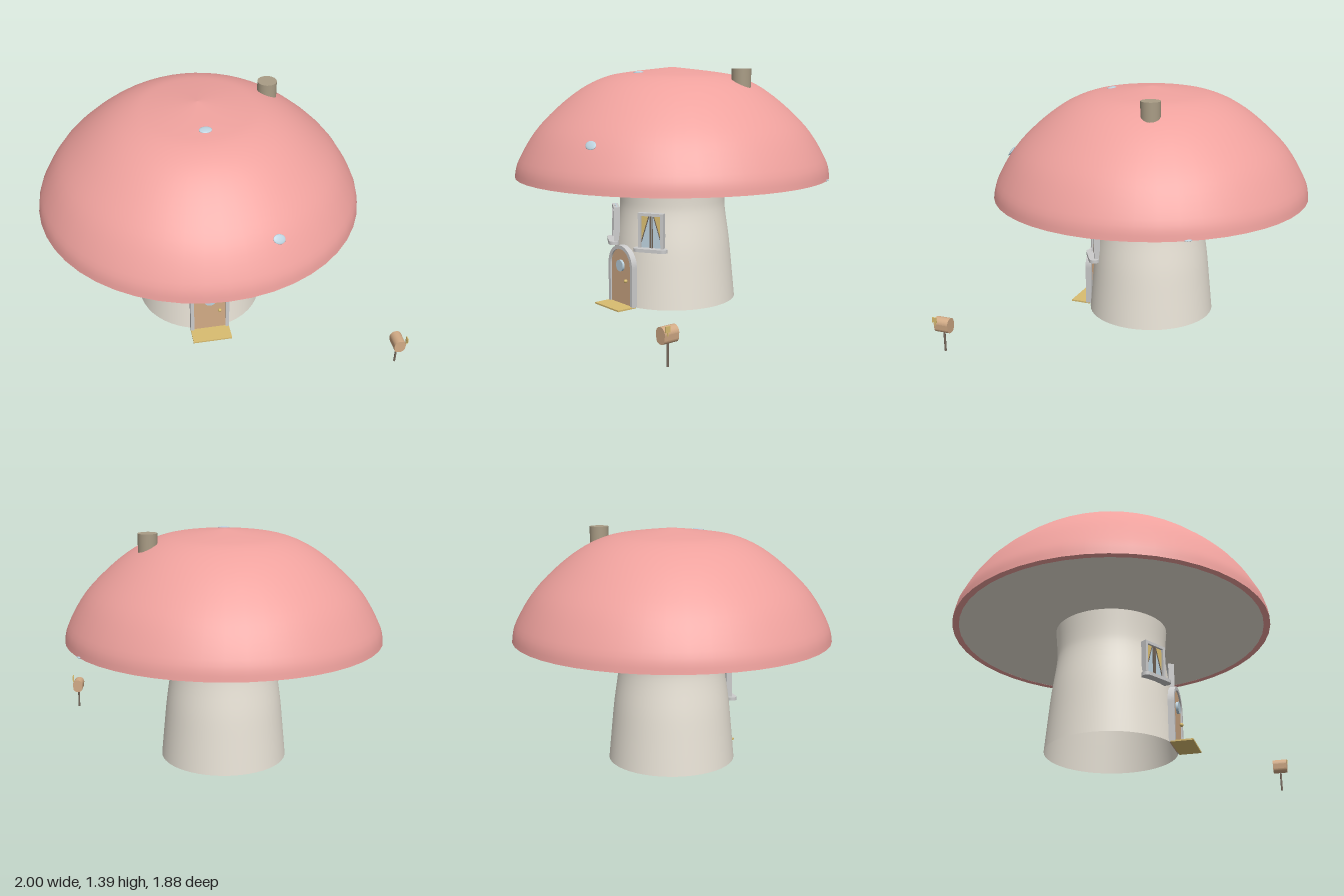
import * as THREE from 'three';

const mat = (color, side = THREE.FrontSide) =>
  new THREE.MeshStandardMaterial({ color, side });
const cream = mat(0xe8e2d6, THREE.DoubleSide);
const pink = mat(0xeea19d, THREE.DoubleSide);
const grey = mat(0xc4c4c8);
const wood = mat(0xd2ab86);
const glass = mat(0xbcd2de);
const gold = mat(0xd8bc70, THREE.DoubleSide);
const stone = mat(0xa99c85);
const dark = mat(0x77695c);

function add(parent, name, geometry, material, x = 0, y = 0, z = 0) {
  const mesh = new THREE.Mesh(geometry, material);
  mesh.name = name;
  mesh.position.set(x, y, z);
  parent.add(mesh);
  return mesh;
}

const box = (w, h, d) => new THREE.BoxGeometry(w, h, d);
const extrude = (shape, depth) =>
  new THREE.ExtrudeGeometry(shape, { depth, bevelEnabled: false, curveSegments: 20 });

// Smooth lathe through a few (radius, height) points
function lathe(points, steps) {
  const curve = new THREE.SplineCurve(points.map(([r, y]) => new THREE.Vector2(r, y)));
  return new THREE.LatheGeometry(curve.getPoints(steps), 48);
}

// Round-topped outline standing on y = 0
function archShape(r, spring) {
  const s = new THREE.Shape();
  s.moveTo(-r, 0);
  s.lineTo(r, 0);
  s.lineTo(r, spring);
  s.absarc(0, spring, r, 0, Math.PI, false);
  s.closePath();
  return s;
}

function makeCap() {
  const cap = new THREE.Group();
  cap.name = 'cap';
  add(cap, 'dome', lathe([[0.938, 0.755], [0.915, 0.85], [0.815, 1.02], [0.675, 1.165],
    [0.53, 1.275], [0.39, 1.34], [0.25, 1.367], [0, 1.396]], 32), pink);
  const rim = add(cap, 'rim', new THREE.RingGeometry(0.9, 0.938, 48), pink, 0, 0.755, 0);
  rim.rotation.x = Math.PI / 2;
  const under = add(cap, 'underside', new THREE.CircleGeometry(0.905, 48), cream, 0, 0.758, 0);
  under.rotation.x = Math.PI / 2;

  // Flat pale spots, each lying along the surface: position, then outward direction
  const spots = [
    [[0.293, 1.0, 0.78], [0.29, 0.65, 0.78]],
    [[0, 1.367, 0.25], [0, 1, 0.12]],
    [[0.77, 0.757, -0.49], [0, 1, 0]],
  ];
  for (const [p, n] of spots) {
    const spot = add(cap, 'spot', new THREE.SphereGeometry(0.036, 20, 12), glass, ...p);
    spot.scale.set(1, 0.2, 0.75);
    spot.quaternion.setFromUnitVectors(new THREE.Vector3(0, 1, 0),
      new THREE.Vector3(...n).normalize());
  }
  add(cap, 'chimney', new THREE.CylinderGeometry(0.056, 0.056, 0.2, 24), stone,
    0.433, 1.29, -0.158);
  return cap;
}

function makeDoor() {
  const door = new THREE.Group();
  door.name = 'door';
  const frame = archShape(0.118, 0.234);
  frame.holes.push(new THREE.Path(archShape(0.097, 0.234).getPoints(20)));
  add(door, 'doorFrame', extrude(frame, 0.036), grey, 0, 0.013, 0.357);
  add(door, 'doorPanel', extrude(archShape(0.099, 0.234), 0.026), wood, 0, 0.013, 0.358);
  const pane = add(door, 'doorWindow', new THREE.CylinderGeometry(0.034, 0.034, 0.018, 28),
    glass, 0, 0.245, 0.389);
  pane.rotation.x = Math.PI / 2;
  add(door, 'doorKnob', new THREE.SphereGeometry(0.011, 16, 12), gold, 0.059, 0.163, 0.396);
  add(door, 'doorstep', box(0.236, 0.009, 0.125), gold, 0, 0.012, 0.43);
  return door;
}

function makeWindow(angle) {
  const win = new THREE.Group();
  win.name = 'window';
  win.rotation.y = angle;
  const w = 0.155, bottom = 0.362, top = 0.57, t = 0.017;
  const mid = (bottom + top) / 2, h = top - bottom, z = 0.344;
  for (const s of [-1, 1]) {
    add(win, 'windowFrameSide', box(t, h, 0.036), grey, s * (w - t) / 2, mid, z);
    add(win, 'mullion', box(0.005, h, 0.01), dark, s * 0.006, mid, z + 0.006);
    // Curtain drawn back to the outer edge
    const c = new THREE.Shape();
    c.moveTo(s * 0.012, top - t);
    c.lineTo(s * 0.066, top - t);
    c.lineTo(s * 0.066, bottom + 0.03);
    c.closePath();
    add(win, 'curtain', new THREE.ShapeGeometry(c), gold, 0, 0, z + 0.004);
    // Gathered hem along the curtain's slanted edge
    const hem = new THREE.LineCurve3(new THREE.Vector3(s * 0.014, top - t, z + 0.004),
      new THREE.Vector3(s * 0.064, bottom + 0.03, z + 0.004));
    add(win, 'curtainHem', new THREE.TubeGeometry(hem, 1, 0.003, 6), dark);
  }
  add(win, 'windowFrameTop', box(w, t, 0.036), grey, 0, top - t / 2, z);
  add(win, 'windowPane', box(w - t, h, 0.006), glass, 0, mid, z - 0.001);

  // Sill with rounded ends
  const sill = new THREE.Shape();
  sill.absarc(0.072, 0, 0.031, -Math.PI / 2, Math.PI / 2, false);
  sill.absarc(-0.072, 0, 0.031, Math.PI / 2, Math.PI * 1.5, false);
  sill.closePath();
  const ledge = add(win, 'windowSill', extrude(sill, 0.02), grey, 0, 0.367, 0.362);
  ledge.rotation.x = Math.PI / 2;
  return win;
}

function makeMailbox() {
  const mailbox = new THREE.Group();
  mailbox.name = 'mailbox';
  mailbox.position.set(0.956, 0, 0.845);
  add(mailbox, 'mailboxPost', new THREE.CylinderGeometry(0.006, 0.006, 0.13, 10), dark,
    0, 0.078, 0);
  // Body with a rounded top and softly rounded floor
  const s = new THREE.Shape();
  s.absarc(0, 0.181, 0.034, 0, Math.PI, false);
  s.lineTo(-0.031, 0.152);
  s.quadraticCurveTo(-0.026, 0.13, 0, 0.13);
  s.quadraticCurveTo(0.026, 0.13, 0.031, 0.152);
  s.closePath();
  add(mailbox, 'mailboxBody', extrude(s, 0.086), wood, 0, 0, -0.043);
  add(mailbox, 'flagArm', box(0.006, 0.045, 0.007), gold, 0.039, 0.2, 0.03);
  add(mailbox, 'flag', box(0.006, 0.03, 0.026), gold, 0.041, 0.211, 0.032);
  return mailbox;
}

export function createModel() {
  const model = new THREE.Group();
  model.name = 'mushroomHouse';

  const house = new THREE.Group();
  house.name = 'house';
  house.position.x = -0.063;
  model.add(house);

  add(house, 'stem', lathe([[0.379, 0.01], [0.363, 0.18], [0.345, 0.36], [0.32, 0.54],
    [0.318, 0.63], [0.328, 0.76]], 20), cream);
  house.add(makeCap(), makeDoor());
  for (const s of [-1, 1]) house.add(makeWindow(s * 0.54));
  model.add(makeMailbox());
  return model;
}
